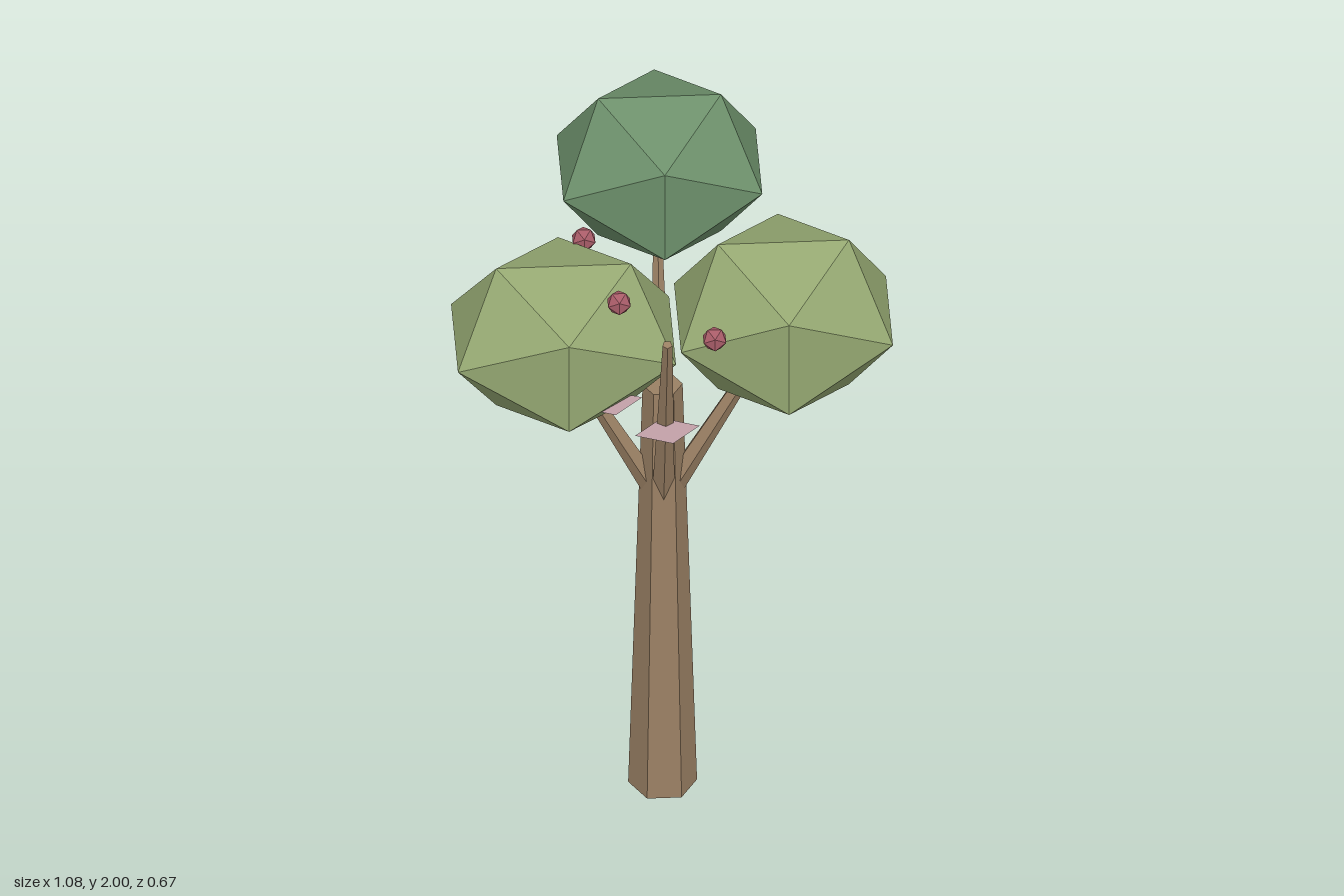
import * as THREE from 'three';

const flat = (name, color, extra = {}) => {
  const m = new THREE.MeshStandardMaterial({ color, flatShading: true, ...extra });
  m.name = name;
  return m;
};

export function createModel() {
  const bark = flat('bark', 0x9a8064);
  const lightLeaf = flat('lightLeaf', 0x95a872);
  const darkLeaf = flat('darkLeaf', 0x6d906b);
  const berry = flat('berry', 0xa85c68);
  const petal = flat('petal', 0xc2a0a8, { side: THREE.DoubleSide });

  const tree = new THREE.Group();
  tree.name = 'tree';
  const add = (name, geometry, material, pos) => {
    const mesh = new THREE.Mesh(geometry, material);
    mesh.name = name;
    mesh.position.set(...pos);
    tree.add(mesh);
    return mesh;
  };

  // Six-sided tapered trunk
  const cx = -0.025, cz = 0.035;
  add('trunk', new THREE.CylinderGeometry(0.05, 0.086, 1.22, 6).rotateY(Math.PI / 6), bark, [cx, 0.61, cz]);

  // Four branches spreading from the trunk: direction x, z, tip offset and tip height
  const up = new THREE.Vector3(0, 1, 0);
  const branches = [
    ['frontBranch', 0, 1, 0.205, 1.49],
    ['backBranch', 0, -1, 0.205, 1.49],
    ['leftBranch', 1, 0, 0.29, 1.39],
    ['rightBranch', -1, 0, 0.25, 1.33],
  ];
  for (const [name, dx, dz, reach, top] of branches) {
    const start = new THREE.Vector3(cx + dx * 0.02, 0.9, cz + dz * 0.02);
    const end = new THREE.Vector3(cx + dx * reach, top, cz + dz * reach);
    const dir = end.clone().sub(start);
    const mesh = add(name, new THREE.CylinderGeometry(0.013, 0.03, dir.length(), 5), bark,
      start.clone().add(end).multiplyScalar(0.5).toArray());
    mesh.quaternion.setFromUnitVectors(up, dir.normalize());
  }

  // Faceted foliage clumps, stretched icosahedra
  const clumps = [
    ['topFoliage', darkLeaf, [-0.024, 1.79, -0.111], [0.292, 0.247, 0.2655]],
    ['leftFoliage', lightLeaf, [0.274, 1.457, 0.083], [0.311, 0.261, 0.28]],
    ['rightFoliage', lightLeaf, [-0.272, 1.38, 0.03], [0.32, 0.247, 0.276]],
  ];
  for (const [name, material, pos, size] of clumps) {
    add(name, new THREE.IcosahedronGeometry(1, 0).scale(...size), material, pos);
  }

  // Small berries
  const berries = [
    [-0.15, 1.672, 0.306], [0.09, 1.535, 0.285],
    [-0.21, 1.53, -0.165], [0.155, 1.39, -0.13],
  ];
  for (const pos of berries) add('berry', new THREE.IcosahedronGeometry(0.033, 0), berry, pos);

  // Flat drifting petals: position and yaw
  const petals = [
    [[-0.022, 1.185, 0.185], 0.2],
    [[-0.165, 1.275, 0.18], 0.2],
    [[0.157, 1.23, -0.134], -1.15],
    [[-0.09, 1.3, -0.1], -0.2],
  ];
  for (const [pos, yaw] of petals) {
    const geometry = new THREE.CircleGeometry(1, 4).scale(0.083, 0.056, 1).rotateX(-Math.PI / 2);
    add('petal', geometry, petal, pos).rotation.y = yaw;
  }

  return tree;
}
